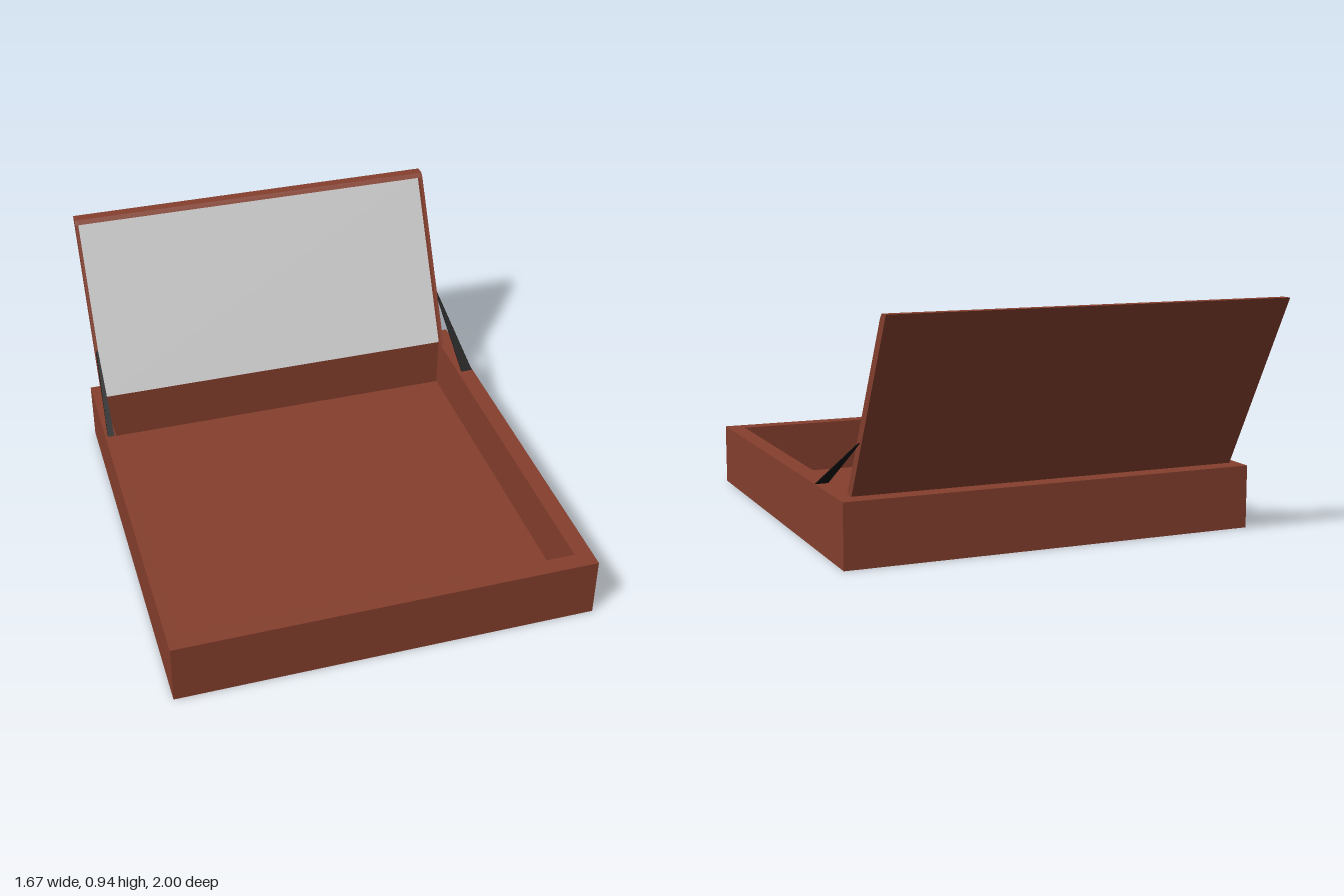
import * as THREE from 'three';

const wood = new THREE.MeshStandardMaterial({ color: 0x853f2d });
const grey = new THREE.MeshStandardMaterial({ color: 0xcccccc });
const black = new THREE.MeshStandardMaterial({ color: 0x111111, side: THREE.DoubleSide });

// Extrudes a [z, y] profile along x from x0 to x1
function slab(name, profile, x0, x1, material) {
  const shape = new THREE.Shape(profile.map(([z, y]) => new THREE.Vector2(z, y)));
  const geo = new THREE.ExtrudeGeometry(shape, { depth: x1 - x0, bevelEnabled: false });
  geo.rotateY(-Math.PI / 2).translate(x1, 0, 0);
  const mesh = new THREE.Mesh(geo, material);
  mesh.name = name;
  return mesh;
}

function rect(Type, x0, x1, z0, z1) {
  return new Type([[x0, -z1], [x1, -z1], [x1, -z0], [x0, -z0]].map(p => new THREE.Vector2(...p)));
}

// Twisted flat stay: wide across x on the rim, turning to lie against the lid side
function stay(name, side, inner, outer, footZ, lidX) {
  const geo = new THREE.BoxGeometry(1, 1, 1);
  const p = geo.attributes.position;
  for (let i = 0; i < p.count; i++) {
    const u = p.getX(i) + 0.5, v = p.getZ(i) + 0.5;
    if (p.getY(i) < 0) {
      p.setXYZ(i, side * (inner + (outer - inner) * u), 0.249, footZ - 0.005 + 0.01 * v);
    } else {
      p.setXYZ(i, side * (lidX + 0.007 * u), 0.465 - 0.017 * v, -0.722 + 0.042 * v);
    }
  }
  const flat = geo.toNonIndexed();
  flat.computeVertexNormals();
  const mesh = new THREE.Mesh(flat, black);
  mesh.name = name;
  return mesh;
}

export function createModel() {
  const model = new THREE.Group();
  model.name = 'displayCase';

  // Open tray: four walls and a thin floor
  const tray = new THREE.Group();
  tray.name = 'tray';
  const outline = rect(THREE.Shape, -0.835, 0.835, -0.69, 1);
  outline.holes.push(rect(THREE.Path, -0.79, 0.765, -0.6, 0.93));
  const walls = new THREE.Mesh(
    new THREE.ExtrudeGeometry(outline, { depth: 0.25, bevelEnabled: false }).rotateX(-Math.PI / 2), wood);
  walls.name = 'walls';
  const floor = new THREE.Mesh(
    new THREE.BoxGeometry(1.555, 0.03, 1.53).translate(-0.0125, 0.015, 0.165), wood);
  floor.name = 'floor';
  tray.add(walls, floor);

  // Leaning lid: side rails, top rail, back sheet and recessed panel
  const lid = new THREE.Group();
  lid.name = 'lid';
  const rail = [[-0.615, 0.25], [-0.567, 0.25], [-0.942, 0.924], [-0.957, 0.94], [-1, 0.94]];
  lid.add(
    slab('sideRailRight', rail, -0.8, -0.788, wood),
    slab('sideRailLeft', rail, 0.766, 0.778, wood),
    slab('topRail', [[-1, 0.94], [-0.985, 0.912], [-0.942, 0.924], [-0.957, 0.94]], -0.788, 0.766, wood),
    slab('backSheet', [[-0.615, 0.25], [-0.605, 0.25], [-0.99, 0.94], [-1, 0.94]], -0.788, 0.766, wood),
    slab('panel', [[-0.605, 0.25], [-0.6, 0.25], [-0.977, 0.925], [-0.982, 0.925]], -0.788, 0.766, grey));

  model.add(tray, lid,
    stay('lidStayLeft', 1, 0.783, 0.832, -0.35, 0.776),
    stay('lidStayRight', -1, 0.797, 0.825, -0.315, 0.788));
  return model;
}
